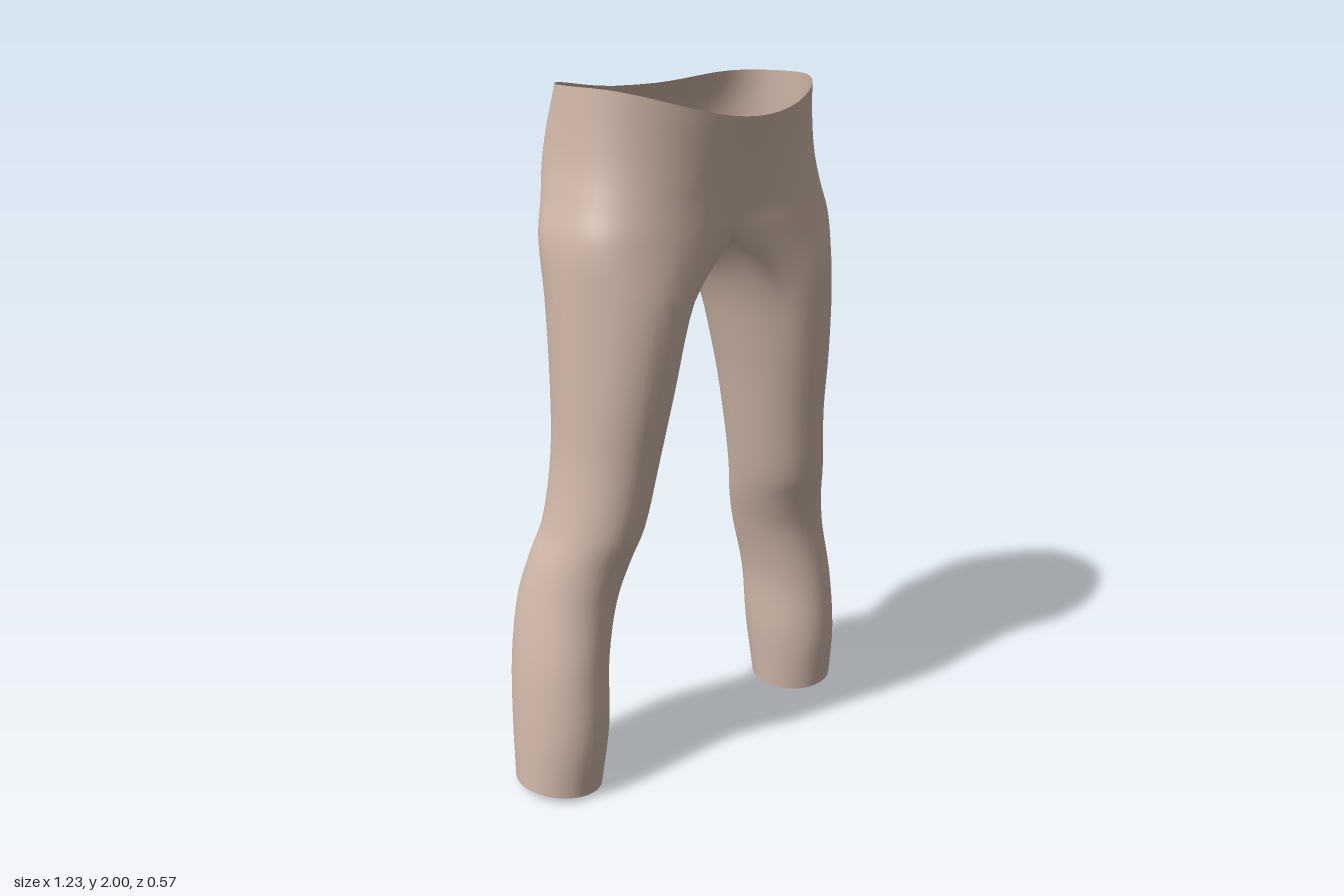
import * as THREE from 'three';
import { mergeVertices } from 'three/addons/utils/BufferGeometryUtils.js';

const K = 28, M = 11;          // columns round the hip half, columns across the crotch
const STEPS = 4;               // samples between control rows
const SPREAD = THREE.MathUtils.degToRad(125);

// hip rows: y, front dip, half width, front z, back z, centre crease, front and back roundness
const HIPS = [
  [2.00, 0.08, 0.398, 0.287, -0.205, 0.000, 1.00, 0.75],
  [1.89, 0.04, 0.405, 0.270, -0.262, 0.005, 0.95, 0.76],
  [1.79, 0.01, 0.416, 0.258, -0.290, 0.012, 0.88, 0.78],
  [1.70, 0.00, 0.436, 0.250, -0.268, 0.025, 0.78, 0.78],
  [1.61, 0.00, 0.458, 0.252, -0.228, 0.050, 0.68, 0.72],
];
// leg rows: y, inner x, outer x, front z, back z
const LEGS = [
  [1.44, 0.078, 0.465, 0.257, -0.184],
  [1.20, 0.152, 0.465, 0.237, -0.150],
  [1.00, 0.195, 0.470, 0.207, -0.138],
  [0.80, 0.236, 0.500, 0.178, -0.148],
  [0.70, 0.262, 0.530, 0.146, -0.172],
  [0.58, 0.300, 0.560, 0.125, -0.196],
  [0.40, 0.342, 0.594, 0.130, -0.192],
  [0.20, 0.353, 0.610, 0.138, -0.180],
  [0.02, 0.374, 0.616, 0.115, -0.155],
];

// point on a hip row; u runs front centre -> side -> back centre
function hipPoint(row, u) {
  const [y, dip, w, front, back, crease, ef, eb] = row;
  const t = u * Math.PI, c = Math.cos(t), s = Math.sin(t);
  const e = c > 0 ? ef : eb;
  const x = u === 0 || u === 1 ? 0 : w * Math.pow(s, e);
  const amount = Math.pow(Math.abs(c), e), zc = 0.02;
  let z = zc + ((c > 0 ? front : back) - zc) * amount;
  z -= Math.sign(c) * crease * Math.exp(-((x / 0.1) ** 2));
  const rimDip = row === HIPS[0] ? 0.03 * Math.max(-c, 0) ** 6 : 0;
  return new THREE.Vector3(x, y - dip * Math.max(c, 0) ** 3 - rimDip, z);
}

// point on a leg row; angle 0 is the outer side, 90 degrees the front
function legPoint(row, angle) {
  const [y, inner, outer, front, back] = row;
  const c = Math.cos(angle), s = Math.sin(angle);
  const hem = row === LEGS[LEGS.length - 1] ? 0.012 * c - 0.006 : 0;
  return new THREE.Vector3(
    (inner + outer) / 2 + (outer - inner) / 2 * c, y + hem,
    (front + back) / 2 + (front - back) / 2 * s);
}

// smooth column through control points, starting at control index `from`
function column(points, from) {
  const curve = new THREE.CatmullRomCurve3(points, false, 'centripetal');
  const out = [], n = points.length - 1;
  for (let i = from * STEPS; i <= n * STEPS; i++) out.push(curve.getPoint(i / (n * STEPS)));
  return out;
}

function buildColumns() {
  const hips = [], legs = [], joint = (HIPS.length - 1) * STEPS;
  // outer columns run from the waist to the hem
  for (let j = 0; j <= K; j++) {
    const u = j / K, angle = SPREAD * (1 - 2 * u);
    const col = column([...HIPS.map(r => hipPoint(r, u)), ...LEGS.map(r => legPoint(r, angle))], 0);
    if (j === 0 || j === K) for (let i = 0; i <= joint; i++) col[i].x = 0;
    hips.push(col.slice(0, joint + 1));
    legs.push(col.slice(joint));
  }
  // inner columns run from the crotch saddle, mirrored so it is rounded
  const frontEnd = hips[0][joint], backEnd = hips[K][joint];
  for (let j = 1; j < M; j++) {
    const v = j / M;
    const angle = -SPREAD - v * (2 * Math.PI - 2 * SPREAD);
    const saddle = backEnd.clone().lerp(frontEnd, v);
    saddle.y -= 0.08 * Math.sin(Math.PI * v);
    const leg = LEGS.map(r => legPoint(r, angle));
    const mirrored = leg.slice(0, 2).reverse().map(p => new THREE.Vector3(-p.x, p.y, p.z));
    legs.push(column([...mirrored, saddle, ...leg], 2));
  }
  legs.push(legs[0]);
  return [hips, legs];
}

export function createModel() {
  const positions = [], index = [];
  const addGrid = (cols, side) => {
    const base = positions.length / 3, rows = cols[0].length;
    for (const col of cols) for (const p of col) {
      // the upper part sits slightly to one side
      const lean = 0.01 * THREE.MathUtils.smoothstep(p.y, 0.3, 1.2);
      positions.push(p.x * side - lean, p.y, p.z);
    }
    for (let j = 0; j < cols.length - 1; j++) for (let i = 0; i < rows - 1; i++) {
      const a = base + j * rows + i, b = a + 1, c = a + rows, d = c + 1;
      if (side > 0) index.push(a, b, c, b, d, c);
      else index.push(a, c, b, b, c, d);
    }
  };
  // both halves, hips then leg
  const grids = buildColumns();
  for (const side of [1, -1]) for (const cols of grids) addGrid(cols, side);

  let geometry = new THREE.BufferGeometry();
  geometry.setAttribute('position', new THREE.Float32BufferAttribute(positions, 3));
  geometry.setIndex(index);
  geometry = mergeVertices(geometry, 1e-4);
  geometry.computeVertexNormals();

  const trousers = new THREE.Mesh(geometry,
    new THREE.MeshStandardMaterial({ color: 0xd2b9aa, side: THREE.DoubleSide }));
  trousers.name = 'trousers';
  const group = new THREE.Group();
  group.name = 'leggings';
  group.add(trousers);
  return group;
}
